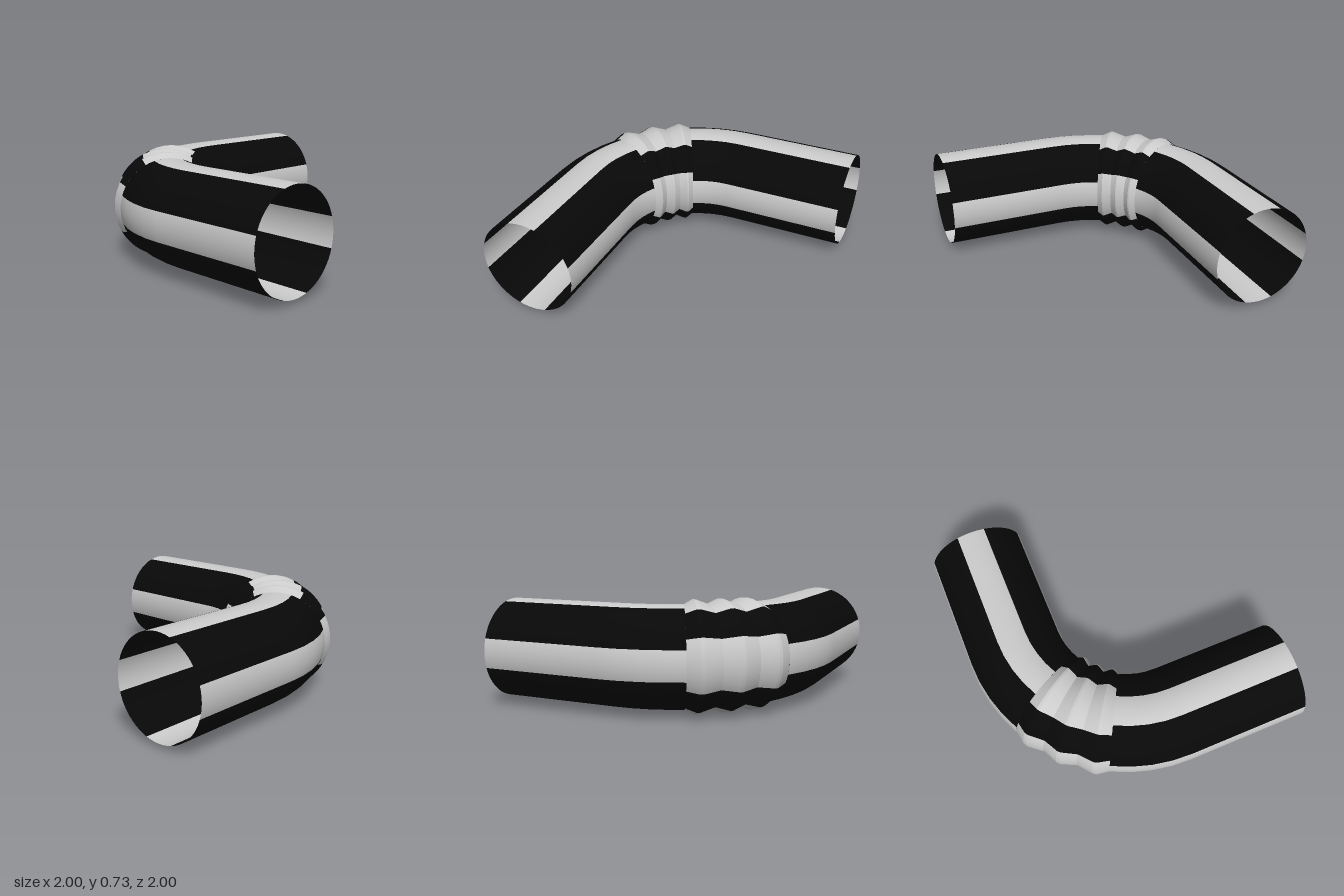
import * as THREE from 'three';
import { mergeGeometries } from 'three/addons/utils/BufferGeometryUtils.js';

const BEND = 0.833, PIPE = 0.333, RIDGE = 0.364, HEIGHT = 0.365, PIVOT = 0.167;
const rad = THREE.MathUtils.degToRad;

// A ring of the pipe: angle along the bend, radius, straight run beyond the bend
const ring = (deg, r = PIPE, run = 0) => ({ t: rad(deg), r, run });

// Point and normal at angle a around a ring; slope tilts the normal on cones
function sample({ t, r, run }, a, dr, dt) {
  const out = new THREE.Vector3(-Math.cos(t), 0, Math.sin(t));
  const along = new THREE.Vector3(Math.sin(t), 0, Math.cos(t));
  const radial = out.clone().multiplyScalar(Math.cos(a)).setY(Math.sin(a));
  const p = new THREE.Vector3(PIVOT, HEIGHT, -PIVOT)
    .addScaledVector(out, BEND).addScaledVector(along, run).addScaledVector(radial, r);
  const slope = dt > 0 ? dr / (dt * (BEND + r * Math.cos(a))) : 0;
  return { p, n: radial.addScaledVector(along, -slope).normalize() };
}

// Lengthwise strip through a list of rings, between two angles around the pipe
function strip(rings, from, to, steps) {
  const pos = [], nor = [];
  for (let i = 0; i + 1 < rings.length; i++) {
    const r0 = rings[i], r1 = rings[i + 1];
    const dr = r1.r - r0.r, dt = r1.t - r0.t;
    for (let j = 0; j < steps; j++) {
      const a0 = rad(from + (to - from) * j / steps);
      const a1 = rad(from + (to - from) * (j + 1) / steps);
      const [A, B, C, D] = [[r0, a0], [r1, a0], [r1, a1], [r0, a1]]
        .map(([r, a]) => sample(r, a, dr, dt));
      for (const v of [A, B, C, A, C, D]) {
        pos.push(...v.p.toArray());
        nor.push(...v.n.toArray());
      }
    }
  }
  const g = new THREE.BufferGeometry();
  g.setAttribute('position', new THREE.Float32BufferAttribute(pos, 3));
  g.setAttribute('normal', new THREE.Float32BufferAttribute(nor, 3));
  return g;
}

export function createModel() {
  const group = new THREE.Group();
  const grey = new THREE.MeshStandardMaterial({ color: 0xcccccc, side: THREE.DoubleSide });
  const black = new THREE.MeshStandardMaterial({ color: 0x080808, side: THREE.DoubleSide });

  // Four light and four dark bands; half is the half-width of a light band
  function addSection(name, rings, half) {
    const light = [], dark = [];
    for (let q = 0; q < 360; q += 90) {
      light.push(strip(rings, q - half, q + half, 6));
      dark.push(strip(rings, q + half, q + 90 - half, 10));
    }
    const parts = [['LightBands', light, grey], ['DarkBands', dark, black]];
    for (const [suffix, list, material] of parts) {
      const mesh = new THREE.Mesh(mergeGeometries(list), material);
      mesh.name = name + suffix;
      group.add(mesh);
    }
  }

  // Straight pipes running smoothly into the bend
  const bend = [0, 7, 14, 21, 28];
  addSection('backPipe', [ring(0, PIPE, PIVOT - 1), ...bend.map(d => ring(d))], 17);
  addSection('sidePipe', [...bend.map(d => ring(62 + d)), ring(90, PIPE, 1 - PIVOT)], 17);

  // Bellows: three narrow-topped ridges at the middle of the bend
  const bellows = [ring(28)];
  [[32.1, 33.3, 39], [44.4, 45.6, 51], [56.7, 57.9, 62]].forEach(([start, end, valley]) =>
    bellows.push(ring(start, RIDGE), ring(end, RIDGE), ring(valley)));
  addSection('bellows', bellows, 28);

  return group;
}
